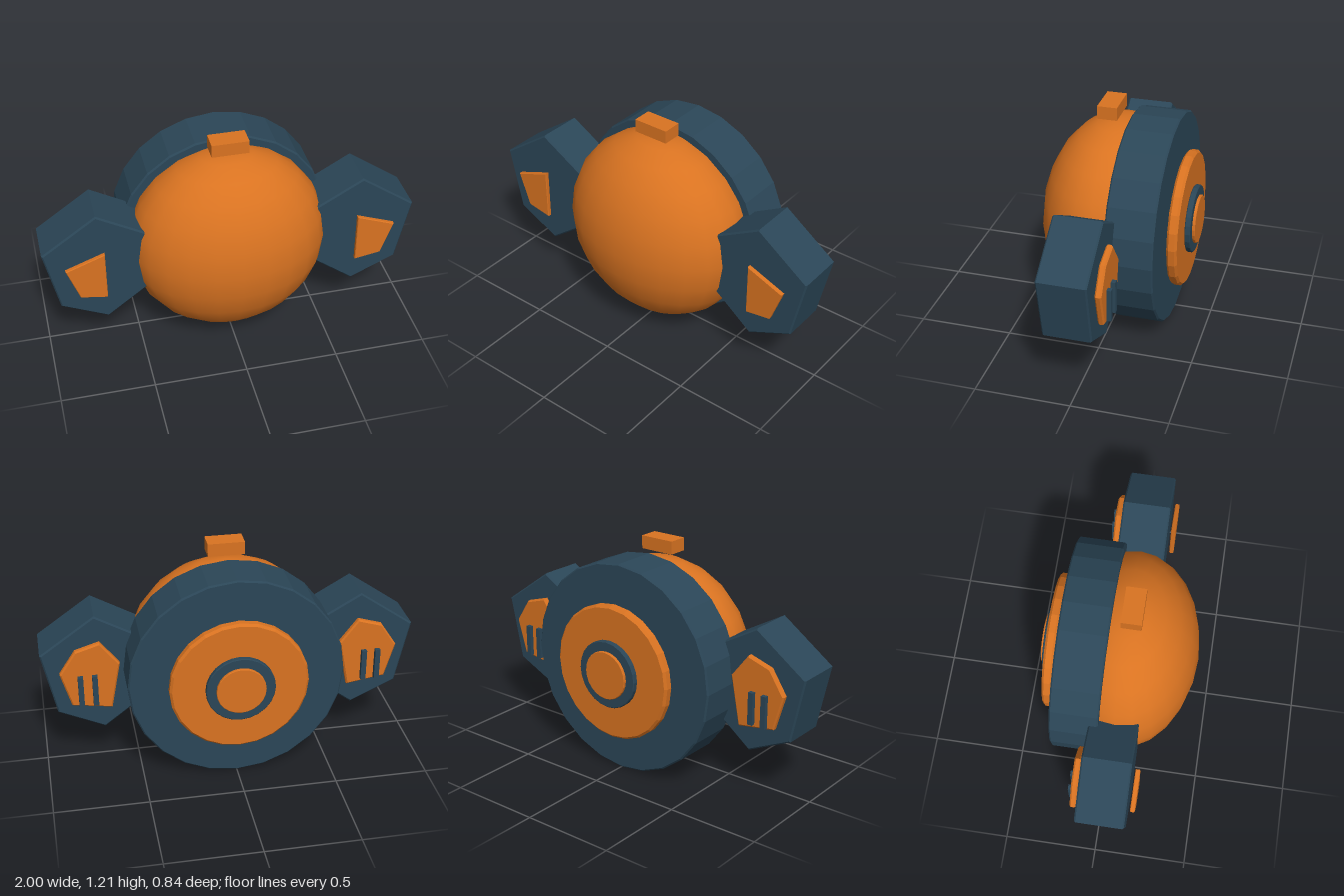
import * as THREE from 'three';

export function createModel() {
  const model = new THREE.Group();
  const orange = new THREE.MeshStandardMaterial({ color: 0xd97321 });
  orange.name = 'orange';
  const slate = new THREE.MeshStandardMaterial({ color: 0x2b4657 });
  slate.name = 'slate blue';
  const CY = 0.575;

  const add = (name, geometry, material, parent = model) => {
    const mesh = new THREE.Mesh(geometry, material);
    mesh.name = name;
    parent.add(mesh);
    return mesh;
  };

  // Flat-sided slab between two depths with softened edges
  const slab = (points, z0, z1, bevel) => {
    const shape = new THREE.Shape(points.map(([x, y]) => new THREE.Vector2(x, y)));
    const g = new THREE.ExtrudeGeometry(shape, {
      depth: z1 - z0 - 2 * bevel, steps: 1, bevelEnabled: bevel > 0,
      bevelThickness: bevel, bevelSize: bevel, bevelOffset: -bevel, bevelSegments: 1,
    });
    return g.translate(0, 0, z0 + bevel);
  };

  // Regular polygon outline around the body axis
  const disc = (r, n = 24) => Array.from({ length: n }, (_, i) => {
    const a = (i / n) * Math.PI * 2;
    return [Math.sin(-a) * r, CY + Math.cos(a) * r];
  });

  // Round body
  const body = add('body', new THREE.SphereGeometry(1, 24, 12), orange);
  body.scale.set(0.535, 0.535, 0.385);
  body.position.set(0, CY, 0.035);

  // Backing ring and stacked rear discs
  add('backRing', slab(disc(0.57), -0.3, -0.045, 0.008), slate);
  add('rearDisc', slab(disc(0.365), -0.375, -0.32, 0.012), orange);
  add('rearHubRing', slab(disc(0.182), -0.405, -0.375, 0.004), slate);
  add('rearHubCap', slab(disc(0.13), -0.42, -0.4, 0.003), orange);

  // Floating tab over the body
  add('topTab', new THREE.BoxGeometry(0.196, 0.07, 0.105), orange).position.set(0, 1.175, 0.0625);

  // Side pods, outlined on the left and mirrored to the right
  const podOutline = [[0.71, 0.905], [0.43, 0.745], [0.43, 0.425], [0.68, 0.235], [0.925, 0.35], [1, 0.7]];
  const frontOutline = [[0.68, 0.688], [0.68, 0.402], [0.822, 0.425], [0.888, 0.61]];
  const backOutline = [[0.69, 0.77], [0.59, 0.64], [0.64, 0.377], [0.85, 0.41], [0.905, 0.6], [0.82, 0.73]];
  for (const [side, s] of [['left', 1], ['right', -1]]) {
    const pod = new THREE.Group();
    pod.name = side + 'Pod';
    model.add(pod);
    const mirror = (pts) => pts.map(([x, y]) => [x * s, y]);
    add(side + 'PodShell', slab(mirror(podOutline), -0.095, 0.16, 0.008), slate, pod);
    add(side + 'FrontPanel', slab(mirror(frontOutline), 0.175, 0.2, 0.004), orange, pod);
    add(side + 'BackPanel', slab(mirror(backOutline), -0.137, -0.102, 0.008), orange, pod);
    // Pair of upright bars on the back panel
    for (const x of [0.725, 0.8]) {
      add(side + 'BackBar', new THREE.BoxGeometry(0.028, 0.175, 0.03), slate, pod)
        .position.set(x * s, 0.5, -0.145);
    }
  }
  return model;
}
